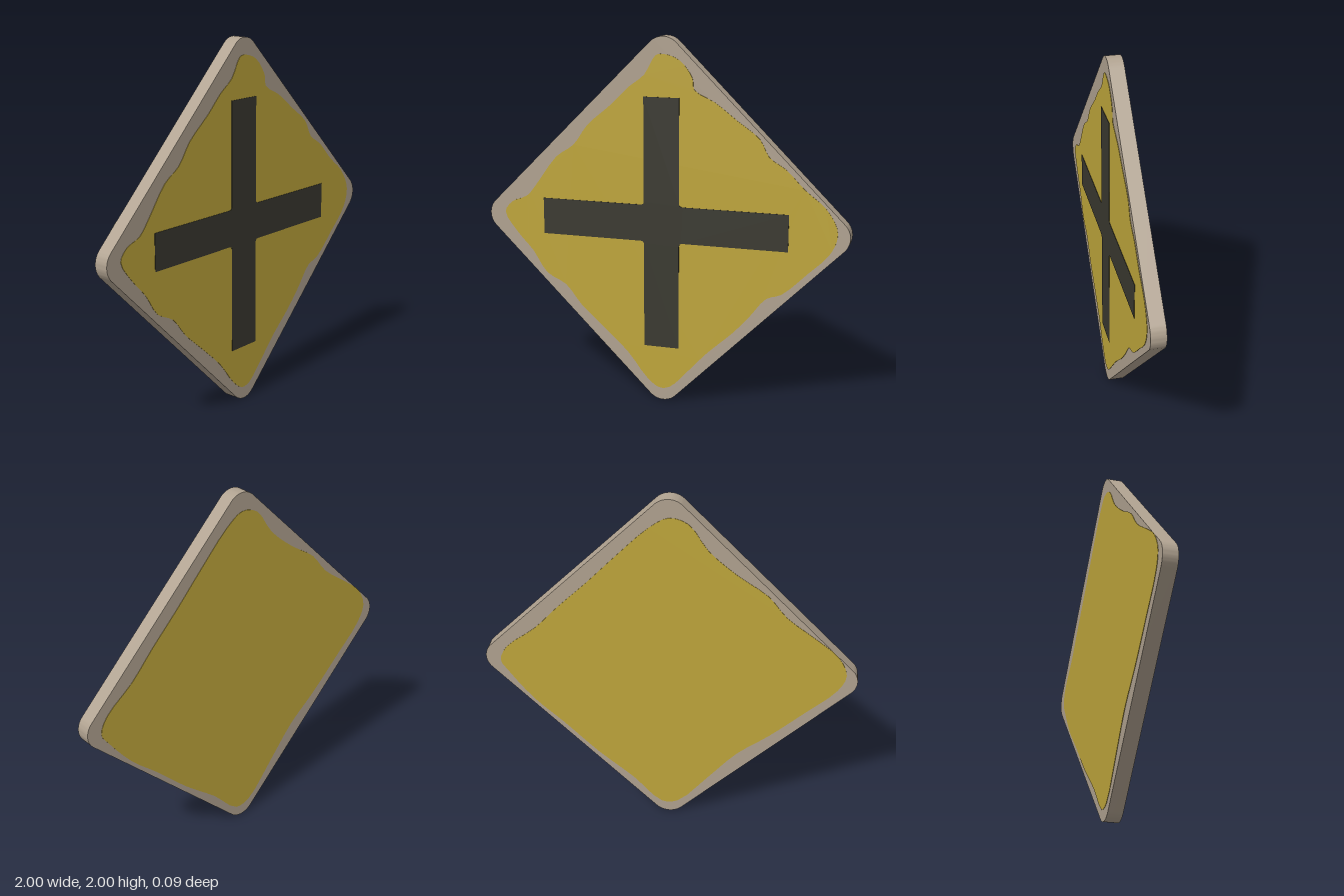
import * as THREE from 'three';
import { toCreasedNormals } from 'three/addons/utils/BufferGeometryUtils.js';

const DEPTH = 0.08;

// Worn paint outlines as x, y pairs around the sign's centre, clockwise from the top
const FRONT_PAINT = [
  0, .91, .09, .88, .16, .79, .17, .73, .28, .67, .40, .58, .52, .49, .57, .40, .66, .34,
  .76, .24, .87, .15, .93, .05, .93, -.02, .89, -.10, .79, -.20, .65, -.33, .57, -.36,
  .48, -.47, .39, -.57, .25, -.70, .14, -.82, .04, -.92, -.02, -.93, -.09, -.88,
  -.20, -.74, -.36, -.59, -.47, -.49, -.56, -.38, -.67, -.32, -.75, -.20, -.84, -.10,
  -.91, .01, -.87, .07, -.78, .11, -.72, .18, -.60, .34, -.50, .41, -.42, .52,
  -.28, .64, -.19, .73, -.10, .80, -.04, .90,
];
const BACK_PAINT = [
  0, .90, .10, .87, .20, .73, .35, .60, .51, .49, .61, .37, .77, .25, .89, .15, .94, .04,
  .90, -.06, .74, -.22, .55, -.40, .38, -.54, .22, -.73, .05, -.92, -.04, -.93,
  -.20, -.77, -.40, -.60, -.59, -.41, -.75, -.26, -.88, -.09, -.92, -.02, -.88, .07,
  -.72, .20, -.59, .34, -.43, .50, -.27, .67, -.10, .84,
];

// Diamond with rounded corners, reaching one unit from its centre
function diamondShape(radius) {
  const shape = new THREE.Shape();
  for (let i = 0; i < 4; i++) {
    const a = i * Math.PI / 2;
    const c = 1 - radius;
    shape.absarc(c * Math.cos(a), c * Math.sin(a), radius, a - Math.PI / 4, a + Math.PI / 4, false);
  }
  shape.closePath();
  return shape;
}

// Smooth closed outline through the paint points
function paintShape(values) {
  const points = [];
  for (let i = 0; i < values.length; i += 2) points.push(new THREE.Vector3(values[i], values[i + 1], 0));
  const curve = new THREE.CatmullRomCurve3(points, true, 'centripetal');
  const outline = curve.getPoints(points.length * 3).slice(0, -1);
  return new THREE.Shape(outline.map((p) => new THREE.Vector2(p.x, p.y)));
}

// Plus shape with small fillets in its inner corners
function crossShape() {
  const l = -0.105, r = 0.09, b = -0.095, t = 0.105, f = 0.02;
  const left = -0.68, right = 0.68, bottom = -0.69, top = 0.685;
  const s = new THREE.Shape();
  s.moveTo(l, bottom);
  s.lineTo(r, bottom);
  s.lineTo(r, b - f);
  s.quadraticCurveTo(r, b, r + f, b);
  s.lineTo(right, b);
  s.lineTo(right, t);
  s.lineTo(r + f, t);
  s.quadraticCurveTo(r, t, r, t + f);
  s.lineTo(r, top);
  s.lineTo(l, top);
  s.lineTo(l, t + f);
  s.quadraticCurveTo(l, t, l - f, t);
  s.lineTo(left, t);
  s.lineTo(left, b);
  s.lineTo(l - f, b);
  s.quadraticCurveTo(l, b, l, b - f);
  s.closePath();
  return s;
}

export function createModel() {
  const model = new THREE.Group();
  model.name = 'diamondSign';

  const material = (name, color) => {
    const m = new THREE.MeshStandardMaterial({ color });
    m.name = name;
    return m;
  };
  const metal = material('bare metal', 0xb0a290);
  const yellow = material('yellow paint', 0xbfa63b);
  const black = material('black paint', 0x3a3930);

  const addPart = (name, shape, depth, z, mat) => {
    const geometry = new THREE.ExtrudeGeometry(shape, { depth, bevelEnabled: false, curveSegments: 10 });
    const mesh = new THREE.Mesh(toCreasedNormals(geometry, 0.5), mat);
    mesh.name = name;
    mesh.position.set(0, 1, z);
    model.add(mesh);
    return mesh;
  };

  // Metal plate
  addPart('plate', diamondShape(0.1), DEPTH, -DEPTH / 2, metal);

  // Thin worn paint on both faces
  addPart('frontPaint', paintShape(FRONT_PAINT), 0.002, DEPTH / 2, yellow);
  const back = addPart('backPaint', paintShape(BACK_PAINT), 0.002, -DEPTH / 2, yellow);
  back.rotation.y = Math.PI;

  // Crossroad marking
  addPart('crossMarking', crossShape(), 0.002, DEPTH / 2 + 0.002, black);

  return model;
}
